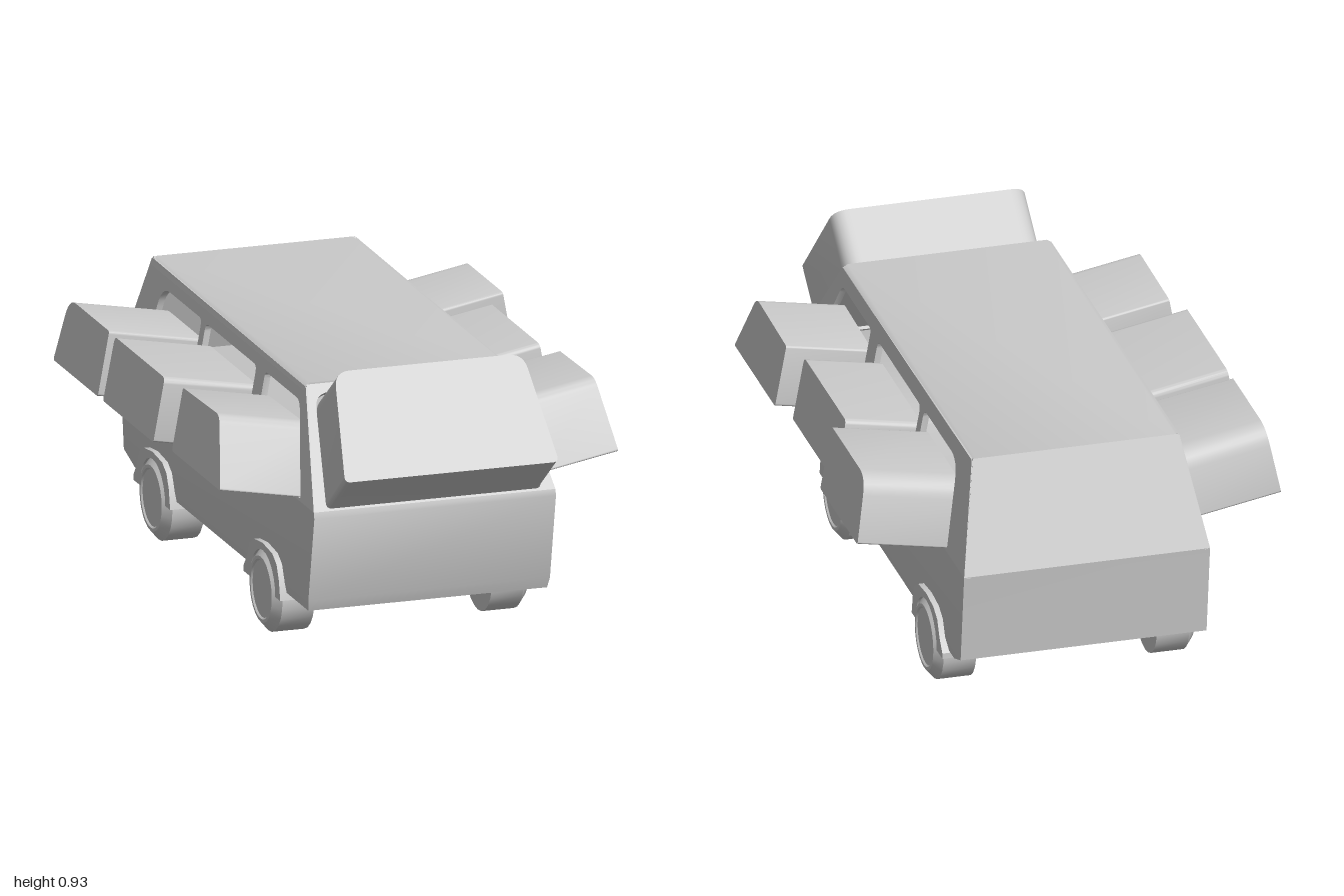
import * as THREE from 'three';
import { toCreasedNormals } from 'three/addons/utils/BufferGeometryUtils.js';

const material = new THREE.MeshStandardMaterial({ color: 0xcccccc, side: THREE.DoubleSide });

function addMesh(parent, name, geometry) {
  const mesh = new THREE.Mesh(toCreasedNormals(geometry, 0.6), material);
  mesh.name = name;
  parent.add(mesh);
  return mesh;
}

// Closed outline from corners [u, v, radius]; flip mirrors u
function outline(corners, flip = 1, Type = THREE.Shape) {
  const path = new Type();
  const n = corners.length;
  const at = (i) => new THREE.Vector2(corners[i % n][0] * flip, corners[i % n][1]);
  for (let i = 0; i < n; i++) {
    const p = at(i);
    const r = corners[i][2] || 0;
    const a = at(i + n - 1).sub(p).setLength(r).add(p);
    const b = at(i + 1).sub(p).setLength(r).add(p);
    if (i === 0) path.moveTo(a.x, a.y);
    else path.lineTo(a.x, a.y);
    if (r > 0) path.quadraticCurveTo(p.x, p.y, b.x, b.y);
  }
  path.closePath();
  return path;
}

// Extrude a shape between two offsets along the normal of a slanted plane
function slab(shape, origin, u, v, from, to) {
  const V = new THREE.Vector3(...v).normalize();
  const U = new THREE.Vector3(...u);
  const N = new THREE.Vector3().crossVectors(U, V);
  const geometry = new THREE.ExtrudeGeometry(shape, { depth: to - from, bevelEnabled: false, curveSegments: 6 });
  geometry.translate(0, 0, from);
  const m = new THREE.Matrix4().makeBasis(U, V, N).setPosition(...origin);
  return geometry.applyMatrix4(m);
}

// Lower body lofted from rectangular rings: [y, front z, back z, half width]
function lowerBody() {
  const rings = [[0.165, 0.77, -0.87, 0.39], [0.2, 0.783, -0.96, 0.395], [0.48, 0.84, -0.997, 0.395], [0.5, 0.835, -1, 0.395]];
  const pos = [];
  const idx = [0, 2, 1, 0, 3, 2];
  rings.forEach(([y, f, b, w], k) => {
    pos.push(-w, y, f, -w, y, b, w, y, b, w, y, f);
    if (k === 0) return;
    for (let i = 0; i < 4; i++) {
      const a = (k - 1) * 4 + i;
      const c = (k - 1) * 4 + (i + 1) % 4;
      idx.push(a, a + 4, c, c, a + 4, c + 4);
    }
  });
  // reverse the floor so it faces down, walls outward
  for (let i = 6; i < idx.length; i += 3) [idx[i + 1], idx[i + 2]] = [idx[i + 2], idx[i + 1]];
  for (let i = 0; i < 6; i += 3) [idx[i + 1], idx[i + 2]] = [idx[i + 2], idx[i + 1]];
  const g = new THREE.BufferGeometry();
  g.setAttribute('position', new THREE.Float32BufferAttribute(pos, 3));
  // (walls and floor were listed clockwise for readability)
  for (let i = 0; i < 6; i += 3) [idx[i + 1], idx[i + 2]] = [idx[i + 2], idx[i + 1]];
  g.setIndex(idx);
  g.computeVertexNormals();
  return g;
}

// Side windows in (z, height above waist): opening, projecting block and its reach
const windows = [
  {
    name: 'FrontWindow', depth: { 1: 0.262, '-1': 0.262 },
    hole: [[0.23, 0.008, 0.01], [0.705, 0.008, 0.01], [0.555, 0.285, 0.03], [0.23, 0.285, 0.02]],
    block: [[0.235, 0.008, 0.01], [0.692, 0.008, 0.01], [0.575, 0.22, 0.03], [0.235, 0.212, 0.01]],
  },
  {
    name: 'MiddleWindow', depth: { 1: 0.23, '-1': 0.292 },
    hole: [[0.15, 0.008, 0.01], [-0.33, 0.008, 0.01], [-0.33, 0.282, 0.025], [0.15, 0.282, 0.025]],
    block: [[0.145, 0.008, 0.01], [-0.33, 0.008, 0.01], [-0.325, 0.216, 0.02], [0.145, 0.216, 0.02]],
  },
  {
    name: 'RearWindow', depth: { 1: 0.292, '-1': 0.292 },
    hole: [[-0.37, 0.008, 0.01], [-0.8, 0.008, 0.01], [-0.745, 0.285, 0.07], [-0.37, 0.285, 0.025]],
    block: [[-0.38, 0.008, 0.01], [-0.8, 0.008, 0.01], [-0.755, 0.218, 0.06], [-0.38, 0.218, 0.01]],
  },
];

export function createModel() {
  const van = new THREE.Group();
  van.name = 'van';

  addMesh(van, 'lowerBody', lowerBody());

  // Roof, with slightly chamfered long edges
  const roof = outline([[-0.338, 0.815], [0.338, 0.815], [0.335, 0.83], [0.32, 0.84], [-0.32, 0.84], [-0.335, 0.83]]);
  addMesh(van, 'roof', slab(roof, [0, 0, 0], [1, 0, 0], [0, 1, 0], -0.87, 0.58));

  // Windscreen frame and the block standing out of it
  const screenFrame = outline([[-0.395, 0], [0.395, 0], [0.33, 0.421], [-0.33, 0.421]]);
  const screen = [[-0.35, 0.01, 0.02], [0.35, 0.01, 0.02], [0.308, 0.376, 0.05], [-0.308, 0.376, 0.05]];
  screenFrame.holes.push(outline([[-0.352, 0.008, 0.02], [0.352, 0.008, 0.02], [0.31, 0.39, 0.05], [-0.31, 0.39, 0.05]], 1, THREE.Path));
  const front = [[0, 0.5, 0.835], [1, 0, 0], [0, 0.335, -0.255]];
  addMesh(van, 'windscreenFrame', slab(screenFrame, ...front, -0.02, 0));
  addMesh(van, 'windscreenBlock', slab(outline(screen), ...front, -0.01, 0.215));

  // Closed sloping rear
  const rear = outline([[-0.395, 0], [0.395, 0], [0.33, 0.364], [-0.33, 0.364]]);
  addMesh(van, 'rearPanel', slab(rear, [0, 0.5, -1], [-1, 0, 0], [0, 0.34, 0.13], -0.02, 0));

  for (const s of [1, -1]) {
    const side = s > 0 ? 'left' : 'right';
    const plane = [[0.395 * s, 0.5, 0], [0, 0, -s], [-0.06 * s, 0.33, 0]];

    // Cabin side with three openings, and a block out of each
    const wall = outline([[0.835, 0], [0.585, 0.335], [-0.87, 0.342], [-1, 0]], -s);
    for (const w of windows) {
      wall.holes.push(outline(w.hole, -s, THREE.Path));
      addMesh(van, side + w.name, slab(outline(w.block, -s), ...plane, -0.02, w.depth[s]));
    }
    addMesh(van, side + 'CabinSide', slab(wall, ...plane, -0.02, 0));

    for (const [end, z] of [['Front', 0.405], ['Rear', -0.635]]) {
      // Flared arch with a round opening
      const arch = new THREE.Shape();
      [[0.165, 0.142], [0.152, 0.205], [0.13, 0.25], [0.09, 0.274], [0, 0.283], [-0.08, 0.274], [-0.125, 0.25],
        [-0.15, 0.2], [-0.182, 0.16], [-0.182, 0.142], [-0.118, 0.142]].forEach(([a, b], i) => {
        if (i) arch.lineTo(a, b);
        else arch.moveTo(a, b);
      });
      arch.absarc(0, 0.142, 0.118, Math.PI, 0, true);
      const archMesh = addMesh(van, side + end + 'Arch',
        slab(arch, [0.25 * s, 0, 0], [0, 0, s > 0 ? -1 : 1], [0, 1, 0], 0, 0.163));
      // the long tail of each arch points to the rear
      if (s > 0) archMesh.geometry.scale(1, 1, -1), flipFaces(archMesh.geometry);
      archMesh.position.z = z;

      // Wheel with a bevelled rim and shallow hub
      const profile = [[0, 0.29], [0.135, 0.29], [0.135, 0.395], [0.105, 0.42], [0.095, 0.42], [0.09, 0.415], [0, 0.415]];
      const wheel = addMesh(van, side + end + 'Wheel',
        new THREE.LatheGeometry(profile.map(([r, x]) => new THREE.Vector2(r, x)), 24));
      wheel.rotation.z = -s * Math.PI / 2;
      wheel.position.set(0, 0.135, z);
    }
  }
  return van;
}

// Restore outward winding after a mirror
function flipFaces(geometry) {
  const n = geometry.attributes.position.count;
  geometry.setIndex(Array.from({ length: n }, (_, i) => (i % 3 === 0 ? i : i % 3 === 1 ? i + 1 : i - 1)));
}
